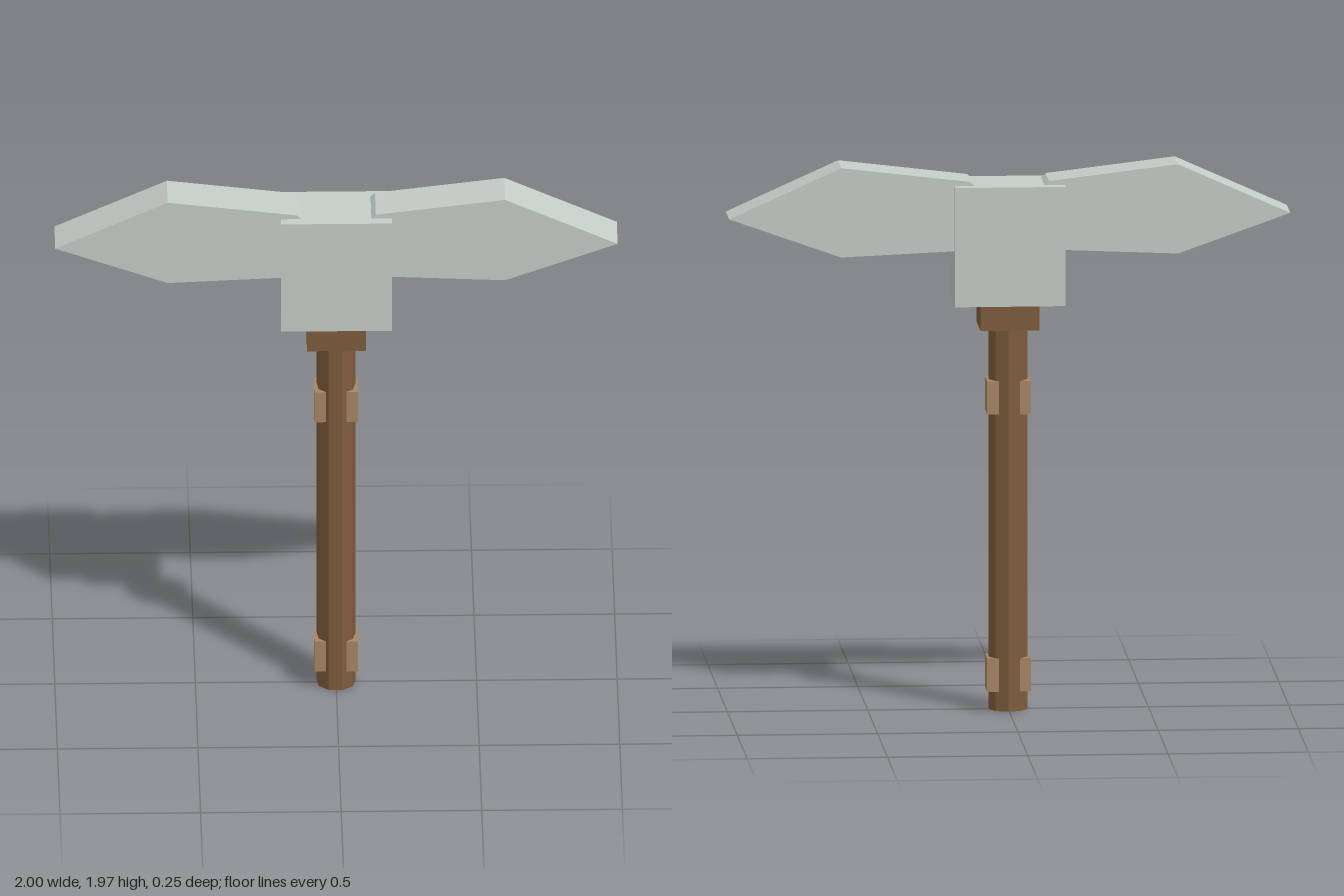
import * as THREE from 'three';

const mat = (color) => new THREE.MeshStandardMaterial({ color, flatShading: true });

export function createModel() {
  const model = new THREE.Group();
  const metal = mat(0xc5cdc8), wood = mat(0x7e5c3c), leather = mat(0xa88665);

  const add = (name, geometry, material, x = 0, y = 0, z = 0) => {
    const mesh = new THREE.Mesh(geometry, material);
    mesh.name = name;
    mesh.position.set(x, y, z);
    model.add(mesh);
    return mesh;
  };

  // Nine-sided shaft
  const shaft = add('handle', new THREE.CylinderGeometry(0.07, 0.07, 1.4, 9), wood, 0, 0.7, 0);
  shaft.rotation.y = THREE.MathUtils.degToRad(17);

  // Collar and head block
  add('collar', new THREE.BoxGeometry(0.21, 0.09, 0.21), wood, 0, 1.425, 0);
  add('headBlock', new THREE.BoxGeometry(0.394, 0.43, 0.25), metal, 0, 1.685, 0);

  for (const side of [1, -1]) {
    const label = side > 0 ? 'left' : 'right';

    // Grip plates on both sides of the shaft
    for (const [part, y] of [['LowerGrip', 0.13], ['UpperGrip', 1.13]]) {
      add(label + part, new THREE.BoxGeometry(0.042, 0.12, 0.114), leather, side * 0.057, y, 0);
    }

    // Pointed blade, its inner end buried in the block
    const outline = [[0.02, 1.8], [0.14, 1.668], [0.6, 1.648], [1, 1.79], [0.6, 1.97], [0.14, 1.915]];
    const shape = new THREE.Shape(outline.map(([x, y]) => new THREE.Vector2(side * x, y)));
    const blade = new THREE.ExtrudeGeometry(shape, { depth: 0.17, bevelEnabled: false });
    add(label + 'Blade', blade, metal, 0, 0, -0.085);
  }
  return model;
}
